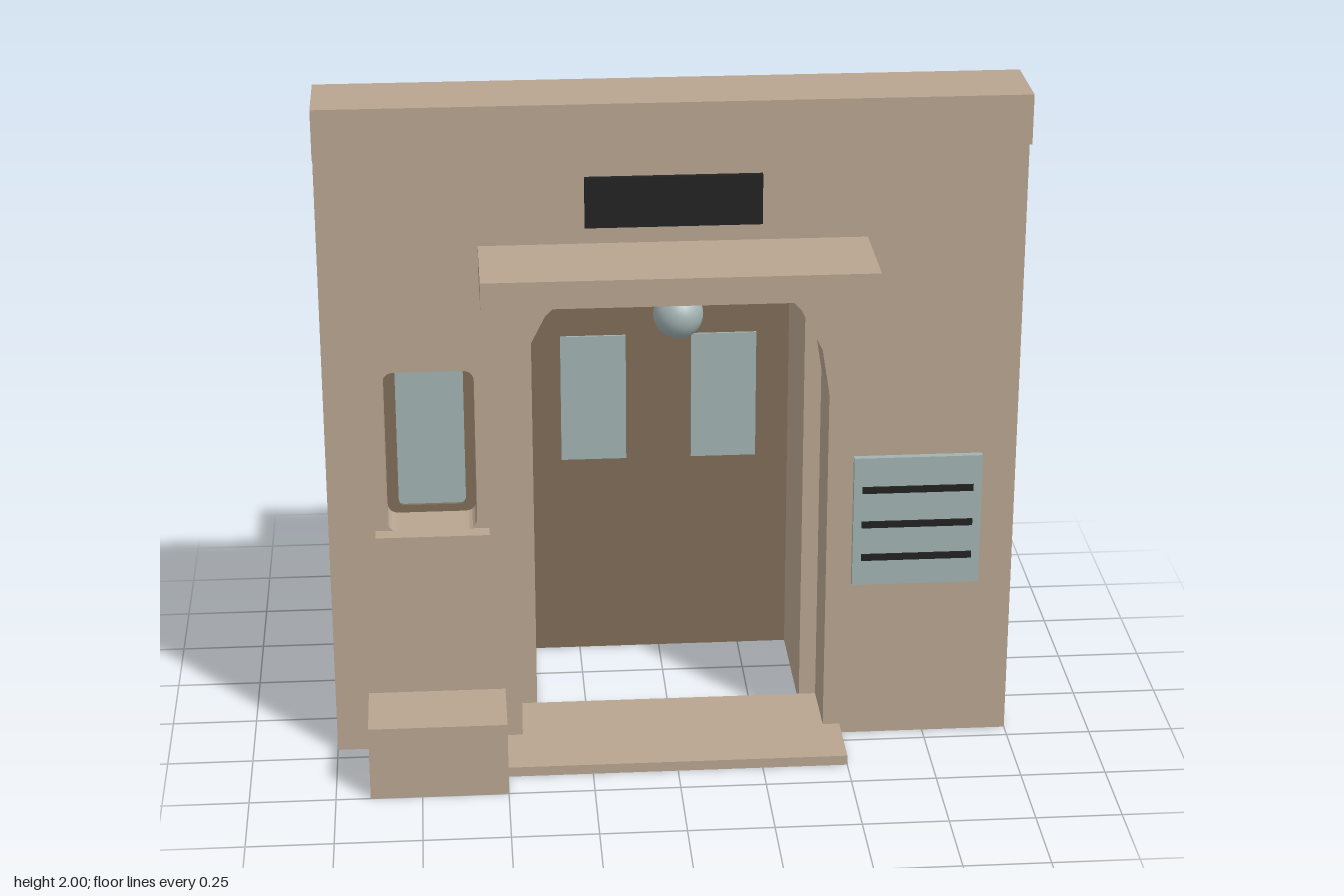
import * as THREE from 'three';

function material(name, color) {
  const m = new THREE.MeshStandardMaterial({ color });
  m.name = name;
  return m;
}

export function createModel() {
  const stone = material('stone', 0xb8a590);
  const wood = material('darkWood', 0x7e6c58);
  const glass = material('paleGlass', 0xa2b2b2);
  const black = material('black', 0x222222);

  const group = new THREE.Group();
  group.name = 'stationEntrance';

  const add = (name, geometry, mat) => {
    const mesh = new THREE.Mesh(geometry, mat);
    mesh.name = name;
    group.add(mesh);
    return mesh;
  };

  // Box given by its lower and upper limits on each axis
  const box = (name, mat, [x0, x1], [y0, y1], [z0, z1]) => {
    const mesh = add(name, new THREE.BoxGeometry(x1 - x0, y1 - y0, z1 - z0), mat);
    mesh.position.set((x0 + x1) / 2, (y0 + y1) / 2, (z0 + z1) / 2);
    return mesh;
  };

  // Flat shape pushed out between two z positions
  const slab = (name, mat, shape, z0, z1) => {
    const geometry = new THREE.ExtrudeGeometry(shape, {
      depth: z1 - z0, bevelEnabled: false, curveSegments: 5,
    });
    add(name, geometry.translate(0, 0, z0), mat);
  };

  const roundedRect = (path, x0, x1, y0, y1, r) => {
    path.moveTo(x0 + r, y0);
    path.lineTo(x1 - r, y0);
    path.quadraticCurveTo(x1, y0, x1, y0 + r);
    path.lineTo(x1, y1 - r);
    path.quadraticCurveTo(x1, y1, x1 - r, y1);
    path.lineTo(x0 + r, y1);
    path.quadraticCurveTo(x0, y1, x0, y1 - r);
    path.lineTo(x0, y0 + r);
    path.quadraticCurveTo(x0, y0, x0 + r, y0);
    return path;
  };

  // Facade wall with an arched doorway and a window opening
  const opening = [-0.83, -0.57, 0.71, 1.205, 0.035];
  const pane = [-0.797, -0.6, 0.733, 1.18, 0.018];
  const wall = new THREE.Shape();
  wall.moveTo(-1, 0);
  wall.lineTo(-0.45, 0);
  wall.lineTo(-0.45, 1.1);
  wall.absarc(0, 1.1, 0.45, Math.PI, 0, true);
  wall.lineTo(0.45, 0);
  wall.lineTo(1, 0);
  wall.lineTo(1, 2);
  wall.lineTo(-1, 2);
  wall.closePath();
  wall.holes.push(roundedRect(new THREE.Path(), ...opening));
  slab('facadeWall', stone, wall, 0, 0.2);
  box('cornice', stone, [-1, 1], [1.855, 2], [0.2, 0.24]);

  // Window set deep in the wall
  const frame = roundedRect(new THREE.Shape(), ...opening);
  frame.holes.push(roundedRect(new THREE.Path(), ...pane));
  slab('windowFrame', wood, frame, 0.03, 0.07);
  slab('windowPane', glass, roundedRect(new THREE.Shape(), ...pane), 0.04, 0.06);
  box('windowSill', stone, [-0.865, -0.535], [0.673, 0.712], [0.2, 0.25]);

  // Canopy, lamp and blank sign over the doorway
  box('canopy', stone, [-0.55, 0.55], [1.5, 1.58], [0.2, 0.5]);
  add('lamp', new THREE.SphereGeometry(0.07, 24, 16), glass).position.set(0, 1.43, 0.375);
  box('signPanel', black, [-0.25, 0.25], [1.63, 1.777], [0.2, 0.215]);

  // Notice board with three bars
  box('noticeBoard', glass, [0.525, 0.9], [0.5, 0.905], [0.2, 0.22]);
  for (const y of [0.59, 0.695, 0.805]) {
    box('noticeBar', black, [0.55, 0.875], [y - 0.01, y + 0.01], [0.22, 0.226]);
  }

  // Doorstep and bench block
  box('doorstep', stone, [-0.5, 0.5], [0, 0.03], [0, 0.4]);
  box('benchBlock', stone, [-0.9, -0.5], [0, 0.225], [0.275, 0.5]);

  // Porch behind the facade, open at the bottom
  box('porchRoof', stone, [-0.45, 0.45], [1.55, 1.605], [-0.5, 0]);
  box('porchRightWall', stone, [-0.45, -0.4], [0, 1.55], [-0.5, 0]);
  box('porchLeftWall', stone, [0.4, 0.45], [0, 1.55], [-0.5, 0]);

  // Door with two thin panes on its front
  box('door', wood, [-0.4, 0.4], [0, 1.205], [-0.475, -0.425]);
  for (const x of [-0.2, 0.2]) {
    box('doorPane', glass, [x - 0.1, x + 0.1], [0.65, 1.057], [-0.425, -0.418]);
  }

  return group;
}
